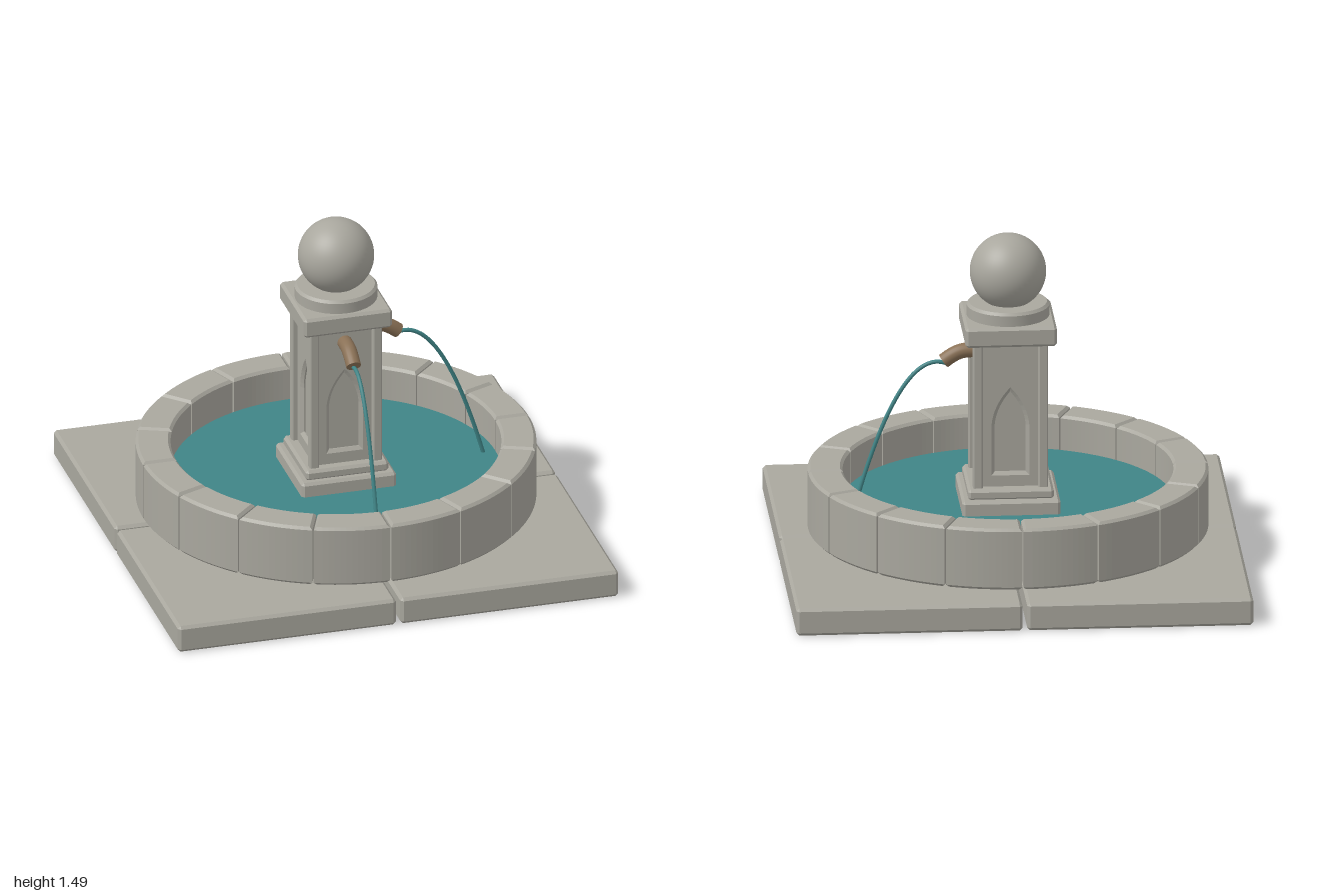
import * as THREE from 'three';
import { toCreasedNormals } from 'three/addons/utils/BufferGeometryUtils.js';
import { ConvexGeometry } from 'three/addons/geometries/ConvexGeometry.js';

// Box with chamfered edges, sitting on y0
function chamferBox(w, h, d, b, y0) {
  const pts = [];
  for (const sx of [-1, 1]) for (const sy of [-1, 1]) for (const sz of [-1, 1]) {
    const x = w / 2, y = h / 2, z = d / 2;
    pts.push(
      new THREE.Vector3(sx * x, sy * (y - b), sz * (z - b)),
      new THREE.Vector3(sx * (x - b), sy * y, sz * (z - b)),
      new THREE.Vector3(sx * (x - b), sy * (y - b), sz * z));
  }
  return new ConvexGeometry(pts).translate(0, y0 + h / 2, 0);
}

// One curved kerb block of the basin, centred on angle 0
function kerbBlock(rIn, rOut, y0, y1, count) {
  const b = 0.012, joint = 0.003;
  const half = Math.PI / count;
  const aOut = half - (b + joint) / (rOut - b), aIn = half - (b + joint) / (rIn + b);
  const s = new THREE.Shape();
  s.absarc(0, 0, rOut - b, -aOut, aOut, false);
  s.absarc(0, 0, rIn + b, aIn, -aIn, true);
  s.closePath();
  const g = new THREE.ExtrudeGeometry(s, {
    depth: y1 - y0 - 2 * b, bevelEnabled: true, bevelThickness: b,
    bevelSize: b, bevelSegments: 1, curveSegments: 6 });
  return g.rotateX(-Math.PI / 2).translate(0, y0 + b, 0);
}

// Wall panel with a pointed-arch opening whose edge slopes inwards
function archPanel() {
  const s = new THREE.Shape();
  s.moveTo(-0.125, 0.3);
  s.lineTo(0.125, 0.3);
  s.lineTo(0.125, 1.045);
  s.lineTo(-0.125, 1.045);
  s.closePath();
  const hole = new THREE.Path();
  hole.moveTo(-0.083, 0.43);
  hole.lineTo(-0.083, 0.66);
  hole.quadraticCurveTo(-0.075, 0.755, 0, 0.835);
  hole.quadraticCurveTo(0.075, 0.755, 0.083, 0.66);
  hole.lineTo(0.083, 0.43);
  hole.closePath();
  s.holes.push(hole);
  return new THREE.ExtrudeGeometry(s, {
    depth: 0.005, bevelEnabled: true, bevelThickness: 0.012,
    bevelSize: 0.015, bevelSegments: 1, curveSegments: 8 }).translate(0, 0, 0.122);
}

export function createModel() {
  const model = new THREE.Group();
  model.name = 'fountain';
  const stone = new THREE.MeshStandardMaterial({ color: 0xa9a79e });
  const water = new THREE.MeshStandardMaterial({ color: 0x3f8486 });
  const copper = new THREE.MeshStandardMaterial({ color: 0x8a7156 });
  stone.name = 'stone';
  water.name = 'water';
  copper.name = 'copper';

  const add = (parent, name, geometry, material) => {
    const mesh = new THREE.Mesh(geometry, material);
    mesh.name = name;
    parent.add(mesh);
    return mesh;
  };
  const group = (name) => {
    const g = new THREE.Group();
    g.name = name;
    model.add(g);
    return g;
  };

  // Four paving slabs with narrow joints
  const paving = group('paving');
  const slab = chamferBox(0.99, 0.125, 0.99, 0.013, 0);
  for (const x of [-1, 1]) for (const z of [-1, 1]) {
    add(paving, 'pavingSlab', slab, stone).position.set(x * 0.505, 0, z * 0.505);
  }

  // Round basin of kerb blocks
  const basin = group('basin');
  const count = 16;
  const block = kerbBlock(0.722, 0.875, 0.147, 0.427, count);
  for (let i = 0; i < count; i++) {
    add(basin, 'kerbBlock', block, stone).rotation.y = (i + 0.5) * 2 * Math.PI / count;
  }
  add(model, 'waterSurface', new THREE.CylinderGeometry(0.722, 0.722, 0.02, 96).translate(0, 0.26, 0), water);

  // Pillar: stepped plinth, core, corner posts, arched panels
  const pillar = group('pillar');
  add(pillar, 'plinth', chamferBox(0.43, 0.1, 0.43, 0.012, 0.235), stone);
  add(pillar, 'plinthStep', chamferBox(0.375, 0.05, 0.375, 0.012, 0.33), stone);
  add(pillar, 'core', new THREE.BoxGeometry(0.238, 0.75, 0.238).translate(0, 0.67, 0), stone);
  const post = chamferBox(0.042, 0.7, 0.042, 0.006, 0.35);
  const panel = archPanel();
  for (let i = 0; i < 4; i++) {
    const side = new THREE.Group();
    side.name = 'pillarSide';
    side.rotation.y = i * Math.PI / 2;
    pillar.add(side);
    add(side, 'cornerPost', post, stone).position.set(0.143, 0, 0.143);
    add(side, 'archPanel', panel, stone);
  }

  // Cap, round collar and ball finial
  add(pillar, 'cap', chamferBox(0.4, 0.09, 0.4, 0.012, 1.037), stone);
  const collar = [[0, 1.12], [0.181, 1.12], [0.181, 1.175], [0.17, 1.187], [0, 1.187]]
    .map(([x, y]) => new THREE.Vector2(x, y));
  add(pillar, 'collar', toCreasedNormals(new THREE.LatheGeometry(collar, 48), 0.5), stone);
  add(pillar, 'ballFinial', new THREE.SphereGeometry(0.167, 48, 32).translate(0, 1.326, 0), stone);

  // Curved spouts with falling jets, on the left and front sides
  const spoutPath = new THREE.CatmullRomCurve3([
    [0.125, 0.965], [0.18, 0.965], [0.215, 0.958], [0.25, 0.94], [0.282, 0.917],
  ].map(([x, y]) => new THREE.Vector3(x, y, 0)));
  const spoutTube = new THREE.TubeGeometry(spoutPath, 16, 0.033, 20);
  const spoutEnd = new THREE.CircleGeometry(0.033, 20);
  const endDir = spoutPath.getTangent(1);
  const jetPoints = [];
  for (let i = 0; i <= 12; i++) {
    const x = 0.27 + 0.4 * i / 12;
    jetPoints.push(new THREE.Vector3(x, 0.915 - 5.05 * (x - 0.31) ** 2, 0));
  }
  const jetTube = new THREE.TubeGeometry(new THREE.CatmullRomCurve3(jetPoints), 40, 0.009, 10);
  for (const turn of [0, -Math.PI / 2]) {
    const spout = group('spout');
    spout.rotation.y = turn;
    add(spout, 'spoutPipe', spoutTube, copper);
    const end = add(spout, 'spoutMouth', spoutEnd, copper);
    end.position.copy(spoutPath.getPoint(1));
    end.quaternion.setFromUnitVectors(new THREE.Vector3(0, 0, 1), endDir);
    add(spout, 'waterJet', jetTube, water);
  }

  return model;
}
